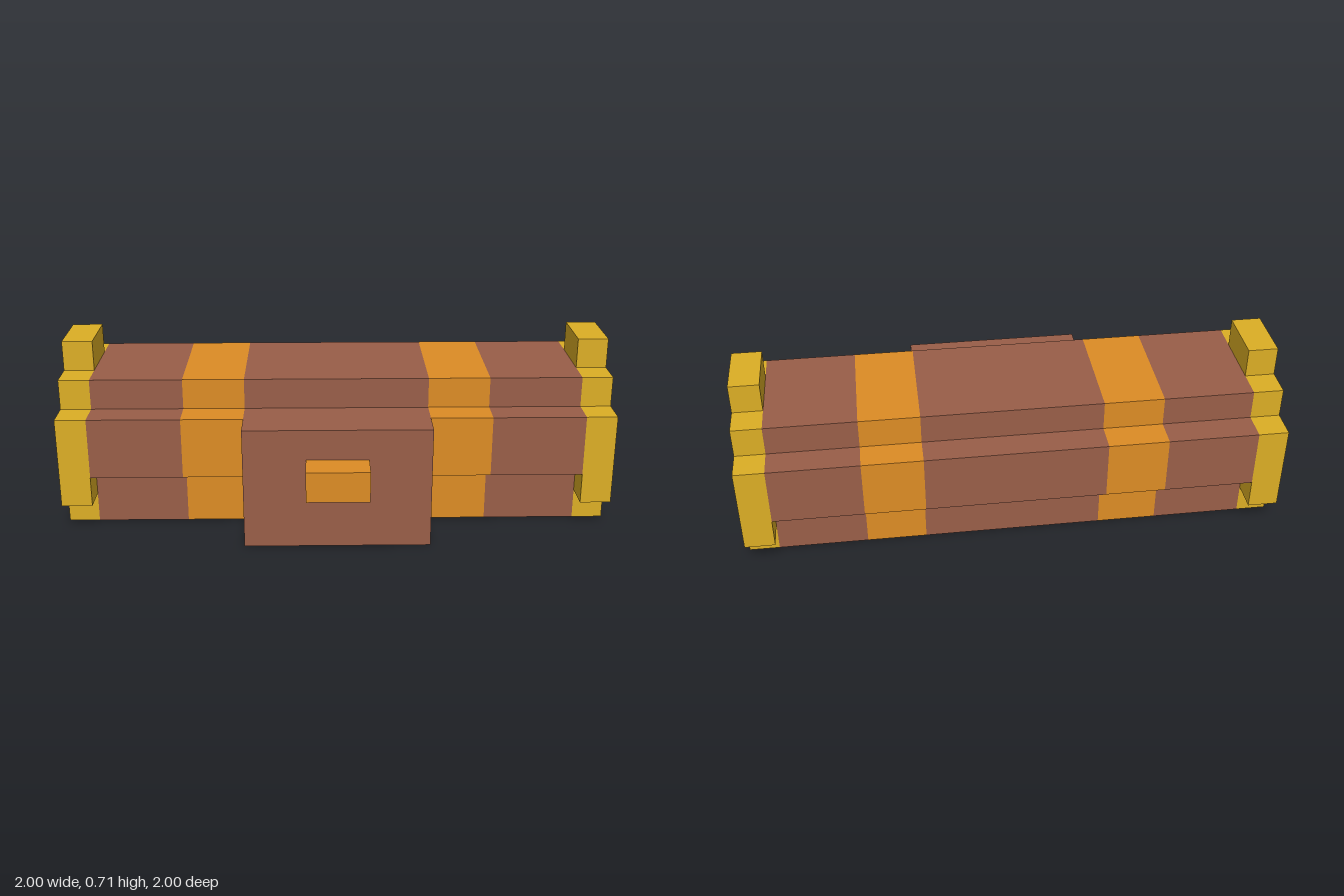
import * as THREE from 'three';

// One block unit; the chest is 18 units long and stands diagonally.
const P = 1 / (6 * Math.SQRT2);

function material(name, color) {
  const m = new THREE.MeshStandardMaterial({ color });
  m.name = name;
  return m;
}

// Extrude a (depth, height) cross-section along the chest from u0 to u1.
function bar(name, profile, u0, u1, mat) {
  const shape = new THREE.Shape(profile.map(([d, h]) => new THREE.Vector2(d * P, h * P)));
  const geo = new THREE.ExtrudeGeometry(shape, { depth: (u1 - u0) * P, bevelEnabled: false });
  geo.rotateY(-Math.PI / 2).translate(u1 * P, 0, 0);
  const mesh = new THREE.Mesh(geo, mat);
  mesh.name = name;
  return mesh;
}

// Mirror one half of a stepped outline, listed from bottom to top.
const symmetric = half => [...half, ...half.map(([d, h]) => [-d, h]).reverse()];

export function createModel() {
  const wood = material('brown wood', 0x995e48);
  const strap = material('orange strap', 0xdd8c24);
  const gold = material('gold', 0xdcae25);

  const body = symmetric([[2, 0], [2, 2], [3, 2], [3, 4], [2, 4], [2, 5]]);
  const cap = symmetric([[2, 0], [2, 1], [3, 1], [3, 4], [2, 4], [2, 5], [1, 5], [1, 6]]);
  const front = [[2, 0], [4, 0], [4, 4], [3, 4], [3, 2], [2, 2]];
  const knob = [[4, 2], [5, 2], [5, 3], [4, 3]];

  const chest = new THREE.Group();
  chest.name = 'chest';

  // Body sections, straps and end caps
  chest.add(bar('middleBody', body, -3, 3, wood));
  for (const [side, s] of [['left', 1], ['right', -1]]) {
    const add = (part, profile, a, b, mat) =>
      chest.add(bar(side + part, profile, Math.min(s * a, s * b), Math.max(s * a, s * b), mat));
    add('Strap', body, 3, 5, strap);
    add('Body', body, 5, 8, wood);
    add('EndCap', cap, 8, 9, gold);
  }

  // Front box with its handle
  chest.add(bar('frontBox', front, -3, 3, wood));
  chest.add(bar('handle', knob, -1, 1, strap));

  chest.rotation.y = Math.PI / 4;
  const model = new THREE.Group();
  model.name = 'model';
  model.add(chest);
  return model;
}
